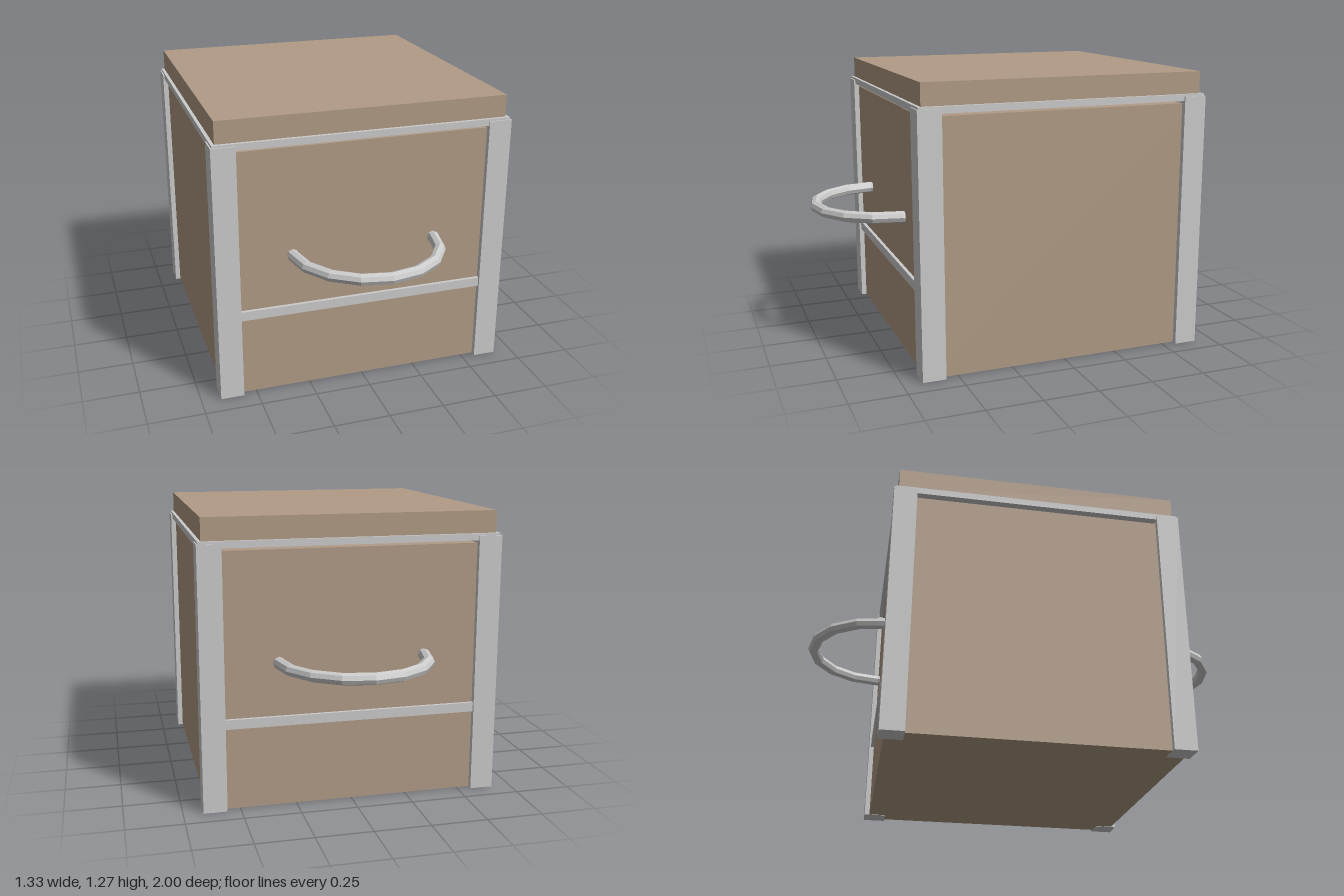
import * as THREE from 'three';

export function createModel() {
  const model = new THREE.Group();
  model.name = 'storageBox';
  const wood = new THREE.MeshStandardMaterial({ color: 0xb19b86, flatShading: true });
  const metal = new THREE.MeshStandardMaterial({ color: 0xcccccc, flatShading: true });

  const add = (name, geometry, material, x, y, z) => {
    const mesh = new THREE.Mesh(geometry, material);
    mesh.name = name;
    mesh.position.set(x, y, z);
    model.add(mesh);
    return mesh;
  };
  const box = (name, material, w, h, d, x, y, z) =>
    add(name, new THREE.BoxGeometry(w, h, d), material, x, y, z);

  // Panelled body and the lid, with a slim gap between body and rim
  box('body', wood, 1.28, 1.128, 1.28, 0, 0.566, 0);
  box('lid', wood, 1.286, 0.1, 1.286, 0, 1.22, 0);

  // Corner posts
  for (const x of [-1, 1])
    for (const z of [-1, 1])
      box('cornerPost', metal, 0.104, 1.162, 0.104, x * 0.612, 0.581, z * 0.612);

  // Half-ring handle, 16 sides to the full circle, ends sunk into the body
  const step = Math.PI / 8;
  const handle = new THREE.TorusGeometry(0.325, 0.026, 8, 10, step * 10);
  handle.rotateZ(-step).rotateX(Math.PI / 2);

  for (const side of [-1, 1]) {
    const name = side > 0 ? 'front' : 'back';
    // Rim rails under the lid
    box(name + 'Rim', metal, 1.316, 0.03, 0.04, 0, 1.157, side * 0.638);
    box(side > 0 ? 'leftRim' : 'rightRim', metal, 0.04, 0.03, 1.236, side * 0.638, 1.157, 0);
    // Cross rail on front and back
    box(name + 'CrossRail', metal, 1.12, 0.042, 0.04, 0, 0.388, side * 0.635);
    // Carrying handle
    const grip = add(name + 'Handle', handle, metal, 0, 0.645, side * 0.65);
    if (side < 0) grip.rotation.y = Math.PI;
  }

  return model;
}
